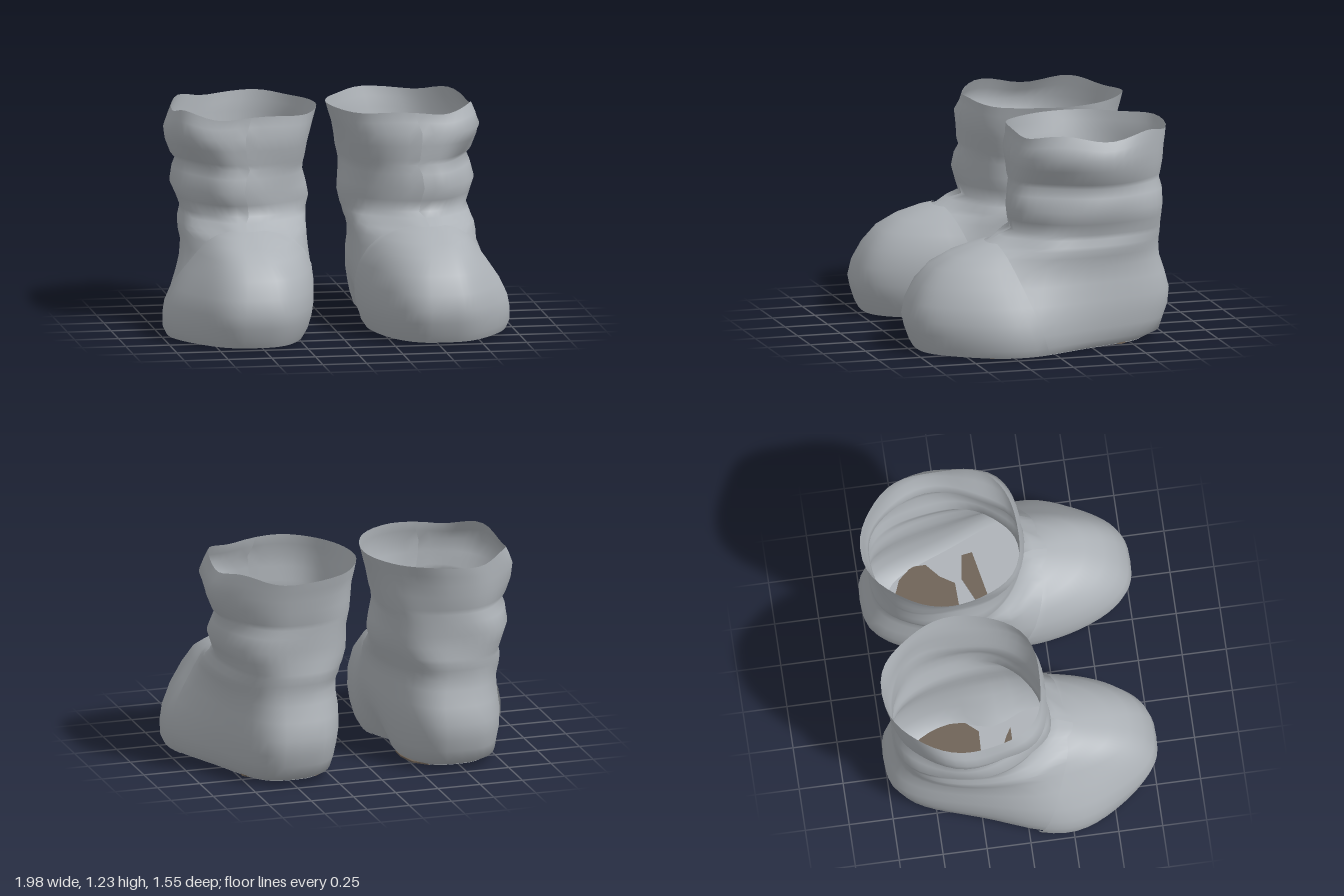
import * as THREE from 'three';

const grey = new THREE.MeshStandardMaterial({ color: 0xadb2b7, side: THREE.DoubleSide });
grey.name = 'bootGrey';
const brown = new THREE.MeshStandardMaterial({ color: 0x6d6155, side: THREE.DoubleSide });
brown.name = 'soleBrown';

// Horizontal slices: height, front z, back z, inner x, outer x, ball bulge, toe width
const SLICES = [
  [0.006, 0.70, -0.61, 0.19, 0.78, 0.185, 1],
  [0.05, 0.725, -0.71, 0.16, 0.81, 0.18, 1],
  [0.12, 0.75, -0.735, 0.14, 0.82, 0.17, 1],
  [0.19, 0.765, -0.76, 0.13, 0.83, 0.145, 1],
  [0.28, 0.745, -0.77, 0.12, 0.83, 0.11, 0.98],
  [0.38, 0.69, -0.745, 0.12, 0.82, 0.06, 0.94],
  [0.47, 0.61, -0.715, 0.13, 0.82, 0.02, 0.87],
  [0.53, 0.50, -0.71, 0.13, 0.835, 0, 0.78],
  [0.57, 0.38, -0.71, 0.125, 0.835, 0, 0.67],
  [0.59, 0.29, -0.715, 0.12, 0.83, 0, 0.56],
  [0.63, 0.22, -0.72, 0.115, 0.82, 0, 0.72],
  [0.655, 0.14, -0.72, 0.11, 0.815, 0, 1],
  [0.72, 0.15, -0.72, 0.095, 0.84, 0, 1],
  [0.79, 0.16, -0.725, 0.10, 0.865, 0, 1],
  [0.87, 0.15, -0.73, 0.11, 0.84, 0, 1],
  [0.92, 0.135, -0.72, 0.10, 0.815, 0, 1],
  [0.95, 0.145, -0.725, 0.09, 0.84, 0, 1],
  [1.03, 0.155, -0.735, 0.075, 0.87, 0, 1],
  [1.10, 0.165, -0.735, 0.06, 0.885, 0, 1],
  [1.16, 0.145, -0.745, 0.045, 0.87, 0, 1],
  [1.215, 0.14, -0.755, 0.035, 0.85, 0, 1],
];
const N = 48;
const smooth = THREE.MathUtils.smoothstep;
const bell = (v, centre, width) => Math.exp(-(((v - centre) / width) ** 2));

// Point on a slice at angle t (0 is the toe, a quarter turn is the outer side)
function slicePoint([y, f, b, xi, xo, bulge, toeW], t, grow = 0) {
  const s = Math.sin(t), c = Math.cos(t);
  const w = 0.01 * smooth(y, 0.5, 0.75);
  const fold = 0.035 * bell(t, 0.85, 0.35) * bell(y, 1.1, 0.08);
  const crease = w * (Math.sin(3 * t + y * 9) + 0.8 * Math.sin(5 * t - y * 7)) + fold + grow;
  const z = (f + b) / 2 + (f - b) / 2 * c;
  const toe = smooth(z, 0.03, 0.25);
  // blunt foot below, rounder shaft above
  const power = 0.66 + 0.2 * smooth(y, 0.35, 0.7);
  const side = Math.sign(s) * Math.abs(s) ** power * THREE.MathUtils.lerp(1, toeW, toe);
  // inner waist at the arch
  const waist = 0.09 * (1 - smooth(y, 0, 0.3)) * Math.max(0, -s) * bell(z, -0.12, 0.15);
  const x = (xi + xo) / 2 + (xo - xi) / 2 * side + 0.05 * toe * (1 - s * s)
    + bulge * Math.max(0, s) * bell(z, 0.27, 0.42) + waist;
  const rim = smooth(y, 1.05, 1.21) * 0.022 * Math.cos(5 * (t - 1)) * (0.5 + 0.5 * s);
  return [x + crease * s, y + rim + grow * 0.5 * y / 0.59, z + crease * c];
}

// Skin a grid of points; the winding flips on the mirrored boot
function skin(name, rows, mirror) {
  const pos = [], idx = [], n = rows[0].length;
  rows.forEach(r => r.forEach(([x, y, z]) => pos.push(x * mirror, y, z)));
  for (let i = 0; i < rows.length - 1; i++)
    for (let j = 0; j < n - 1; j++) {
      const a = i * n + j, b = a + 1, d = a + n, c = d + 1;
      if (mirror > 0) idx.push(a, b, c, a, c, d);
      else idx.push(a, c, b, a, d, c);
    }
  const g = new THREE.BufferGeometry();
  g.setAttribute('position', new THREE.Float32BufferAttribute(pos, 3));
  g.setIndex(idx);
  g.computeVertexNormals();
  const m = new THREE.Mesh(g, grey);
  m.name = name;
  return m;
}

// Flat thin plate lying on the floor, outlined in x and z
function plate(name, points, y, depth, material, mirror) {
  const shape = new THREE.Shape(points.map(([x, z]) => new THREE.Vector2(x * mirror, -z)));
  const g = new THREE.ExtrudeGeometry(shape, { depth, bevelEnabled: false });
  g.rotateX(-Math.PI / 2);
  const m = new THREE.Mesh(g, material);
  m.name = name;
  m.position.y = y;
  return m;
}

function boot(name, mirror) {
  const group = new THREE.Group();
  group.name = name;

  // Hollow body, heel and shaft in one skin
  const angles = Array.from({ length: N + 1 }, (_, j) => (j % N) / N * Math.PI * 2);
  group.add(skin('bootBody', SLICES.map(s => angles.map(t => slicePoint(s, t))), mirror));

  // Toe cap shell with a raised rear edge
  const capRows = SLICES.slice(0, 10).map(s => {
    const edge = 0.25 - 0.35 * (0.59 - s[0]);
    const limit = Math.acos((edge - (s[1] + s[2]) / 2) / ((s[1] - s[2]) / 2));
    return Array.from({ length: 33 }, (_, j) => slicePoint(s, (j / 16 - 1) * limit, 0.013));
  });
  group.add(skin('toeCap', capRows, mirror));

  // Floor of the boot
  const floor = angles.slice(0, N).map(t => slicePoint(SLICES[0], t)).map(p => [p[0], p[2]]);
  group.add(plate('floor', floor, 0.004, 0.003, grey, mirror));

  // Brown heel patch, seen inside and underneath
  const heel = [[0.23, -0.38], [0.26, -0.5], [0.33, -0.565], [0.48, -0.6], [0.56, -0.56], [0.66, -0.52],
    [0.73, -0.44], [0.73, -0.36], [0.65, -0.29], [0.6, -0.21], [0.3, -0.2], [0.23, -0.28]];
  group.add(plate('heelPatch', heel, 0.001, 0.009, brown, mirror));

  // Brown strip inside, at the rear of the front sole
  const strip = [[0.3, -0.02], [0.35, -0.05], [0.62, -0.17], [0.76, -0.15], [0.77, -0.09], [0.62, -0.06], [0.42, -0.02]];
  group.add(plate('innerStrip', strip, 0.007, 0.003, brown, mirror));

  // Brown band under the rear of the front sole
  const under = [[0.27, 0], [0.4, -0.07], [0.62, -0.17], [0.8, -0.13], [0.9, 0.05], [0.93, 0.2],
    [0.84, 0.2], [0.55, 0.09], [0.3, 0.06]];
  group.add(plate('soleBand', under, 0, 0.003, brown, mirror));
  return group;
}

export function createModel() {
  const model = new THREE.Group();
  model.name = 'pairOfBoots';
  const left = boot('leftBoot', 1), right = boot('rightBoot', -1);

  // Brown outer edge under the left sole
  const edge = [[0.84, 0.2], [0.93, 0.2], [0.93, 0.32], [0.88, 0.42], [0.79, 0.53], [0.68, 0.61],
    [0.65, 0.58], [0.75, 0.48], [0.83, 0.35]];
  left.add(plate('soleEdge', edge, 0, 0.003, brown, 1));

  // Two worn brown squares under the right toe
  for (const [x, z] of [[0.56, 0.55], [0.77, 0.43]]) {
    const square = [[x - 0.06, z - 0.06], [x + 0.06, z - 0.06], [x + 0.06, z + 0.06], [x - 0.06, z + 0.06]];
    right.add(plate('soleSquare', square, 0, 0.003, brown, -1));
  }
  model.add(left, right);
  return model;
}
